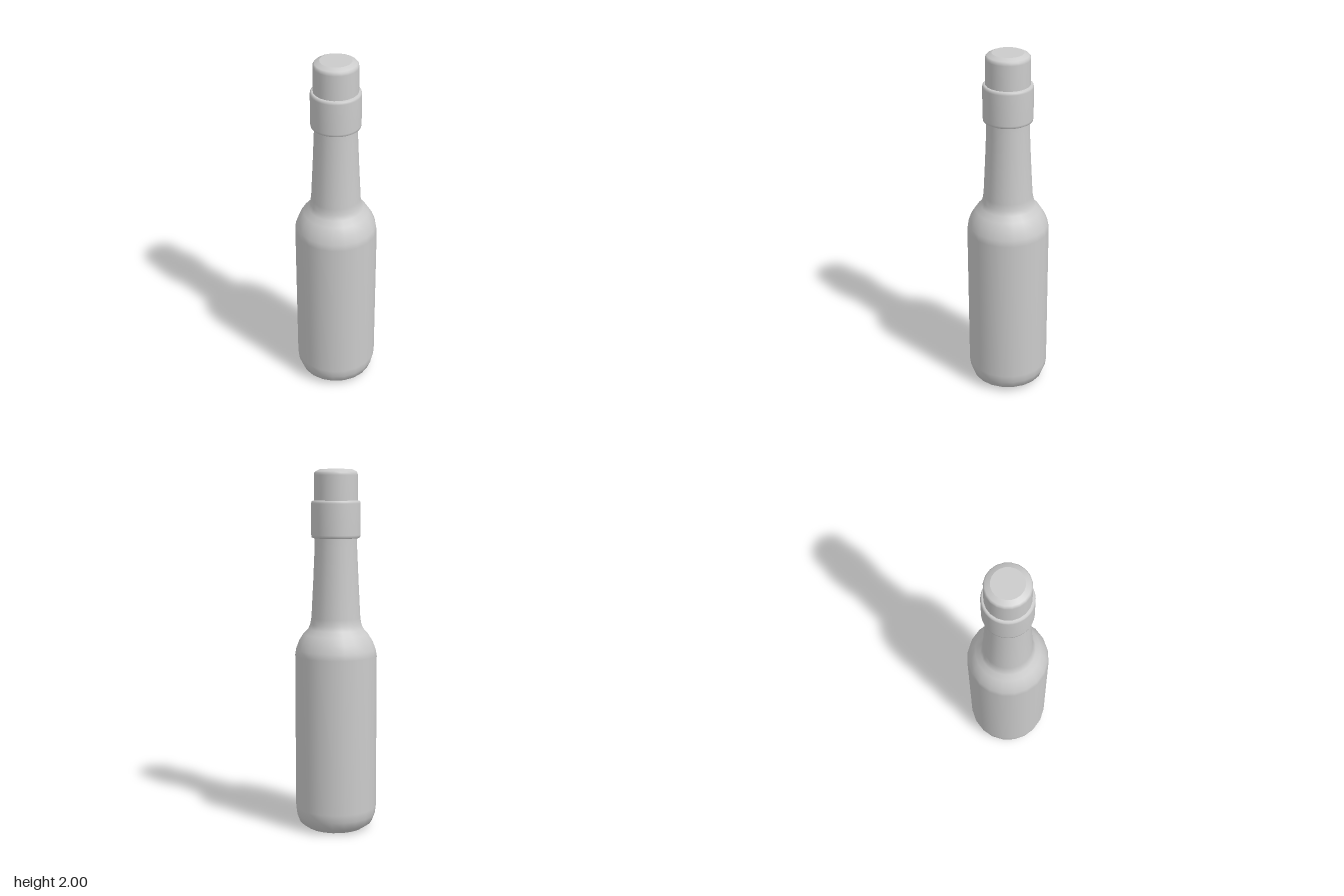
import * as THREE from 'three';

const material = new THREE.MeshStandardMaterial({ color: 0xcccccc });

// Turned part from a bottom-to-top profile of [radius, height] pairs
function turned(name, profile, sides) {
  const points = profile.map(([r, y]) => new THREE.Vector2(r, y));
  const mesh = new THREE.Mesh(new THREE.LatheGeometry(points, sides), material);
  mesh.name = name;
  return mesh;
}

// Flat round face, facing up (+1) or down (-1)
function disc(name, radius, y, sides, facing) {
  const geometry = new THREE.CircleGeometry(radius, sides);
  geometry.rotateX(-facing * Math.PI / 2);
  const mesh = new THREE.Mesh(geometry, material);
  mesh.position.y = y;
  mesh.name = name;
  return mesh;
}

export function createModel() {
  const group = new THREE.Group();
  group.name = 'bottle';

  // Glass body with rounded foot, shoulder and tapering neck
  group.add(turned('bottleBody', [
    [0.163, 0], [0.205, 0.03], [0.222, 0.075], [0.228, 0.12],
    [0.228, 0.98], [0.222, 1.015], [0.205, 1.06], [0.18, 1.1],
    [0.153, 1.128], [0.142, 1.155], [0.136, 1.19],
    [0.125, 1.4], [0.117, 1.58], [0.116, 1.66],
  ], 20));
  group.add(disc('bottleBase', 0.163, 0, 20, -1));

  // Collar band around the top of the neck, with softened rims
  group.add(turned('collar', [
    [0.11, 1.628], [0.126, 1.628], [0.133, 1.632], [0.135, 1.645],
    [0.135, 1.815], [0.133, 1.826], [0.126, 1.831], [0.11, 1.831],
  ], 40));

  // Stopper cap with a bevelled, nearly flat top
  group.add(turned('cap', [
    [0.12, 1.8], [0.12, 1.967], [0.118, 1.98], [0.111, 1.988], [0.085, 2],
  ], 20));
  group.add(disc('capTop', 0.085, 2, 20, 1));

  return group;
}
